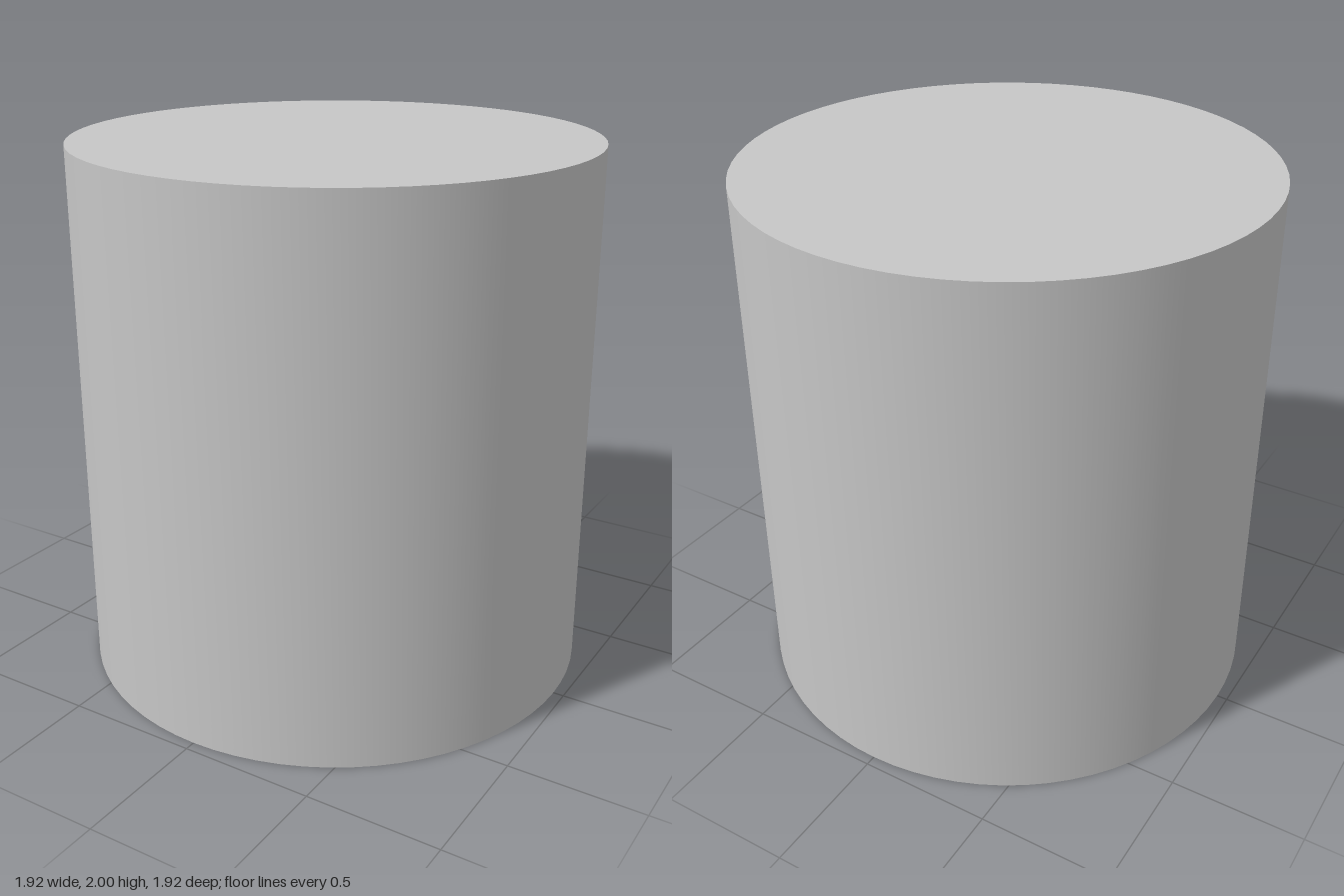
import * as THREE from 'three';
import { toCreasedNormals } from 'three/addons/utils/BufferGeometryUtils.js';

const grey = new THREE.MeshStandardMaterial({ color: 0xc6c6c6 });
grey.name = 'satin grey';

// Turned part; the profile runs upward on outward-facing walls
function turned(name, profile, segments = 72) {
  const points = profile.map(([r, y]) => new THREE.Vector2(r, y));
  const geometry = toCreasedNormals(new THREE.LatheGeometry(points, segments), 0.4);
  const mesh = new THREE.Mesh(geometry, grey);
  mesh.name = name;
  return mesh;
}

export function createModel() {
  const group = new THREE.Group();
  group.name = 'surfaceDownlight';

  // Cylindrical housing with a flared opening underneath
  group.add(turned('housing', [
    [0, 0.6], [0.49, 0.6], [0.49, 0.2], [0.53, 0.1], [0.63, 0],
    [0.96, 0], [0.96, 2], [0, 2],
  ]));

  // Lamp holder ring, set back inside the opening
  group.add(turned('lampRing', [
    [0.40, 0.29], [0.40, 0.22], [0.41, 0.13], [0.42, 0.12], [0.45, 0.12],
    [0.46, 0.14], [0.46, 0.45], [0.40, 0.45], [0.40, 0.29],
  ]));

  // Stepped reflector with a shallow domed lens
  group.add(turned('reflector', [
    [0, 0.42], [0.15, 0.43], [0.28, 0.46], [0.33, 0.46], [0.33, 0.33],
    [0.34, 0.31], [0.40, 0.31], [0.40, 0.52], [0, 0.52],
  ]));

  return group;
}
